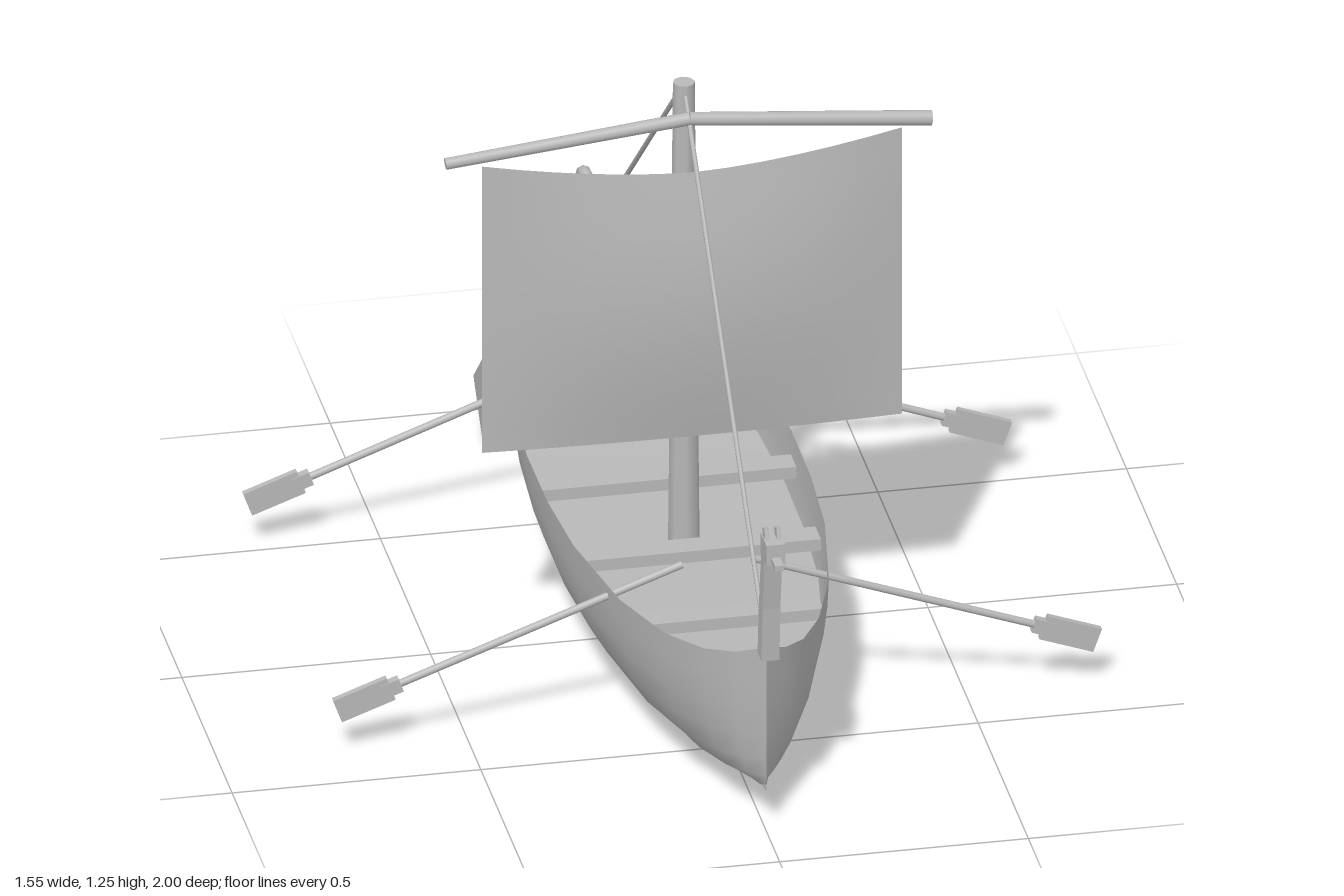
import * as THREE from 'three';

const V = (x, y, z) => new THREE.Vector3(x, y, z);

// Hull stations: z, half width, keel height, gunwale height
const stations = [
  [0.87, 0, 0.09, 0.41], [0.81, 0.05, 0.075, 0.375], [0.74, 0.1, 0.06, 0.352],
  [0.62, 0.155, 0.04, 0.33], [0.45, 0.21, 0.025, 0.322], [0.2, 0.252, 0.008, 0.317],
  [0, 0.265, 0, 0.315], [-0.2, 0.266, 0.004, 0.315], [-0.4, 0.253, 0.013, 0.315],
  [-0.6, 0.22, 0.03, 0.324], [-0.77, 0.172, 0.046, 0.347], [-0.88, 0.128, 0.063, 0.395],
  [-0.94, 0.07, 0.075, 0.44], [-1, 0, 0.09, 0.49],
];
// Cross-section: fraction of half width, fraction of height
const section = [[0, 0], [0.3, 0.045], [0.55, 0.1], [0.74, 0.22], [0.87, 0.4], [0.95, 0.6], [0.985, 0.8], [1, 1]];

function lerpTable(table, key, col, k) {
  for (let i = 1; i < table.length; i++) {
    const a = table[i - 1], b = table[i];
    if ((k - a[key]) * (k - b[key]) <= 0) {
      return a[col] + (b[col] - a[col]) * (k - a[key]) / (b[key] - a[key]);
    }
  }
  return table[table.length - 1][col];
}

// Half width of the hull at a given length and height
function hullHalfWidth(z, y) {
  const keel = lerpTable(stations, 0, 2, z), top = lerpTable(stations, 0, 3, z);
  return lerpTable(stations, 0, 1, z) * lerpTable(section, 1, 0, (y - keel) / (top - keel));
}

// Surface through a grid of points given by fn(row, col)
function gridSurface(rows, cols, fn, flip = false) {
  const pos = [], idx = [];
  for (let i = 0; i < rows; i++) for (let j = 0; j < cols; j++) pos.push(...fn(i, j));
  for (let i = 0; i < rows - 1; i++) for (let j = 0; j < cols - 1; j++) {
    const a = i * cols + j, b = a + 1, c = a + cols, d = c + 1;
    if (flip) idx.push(a, c, b, b, c, d);
    else idx.push(a, b, c, b, d, c);
  }
  const g = new THREE.BufferGeometry();
  g.setAttribute('position', new THREE.Float32BufferAttribute(pos, 3));
  g.setIndex(idx);
  g.computeVertexNormals();
  return g;
}

export function createModel() {
  const model = new THREE.Group();
  model.name = 'sailingBoat';
  const grey = new THREE.MeshStandardMaterial({ color: 0xb8b8b8, side: THREE.DoubleSide });
  grey.name = 'plain grey';

  function add(name, geometry, parent = model) {
    const m = new THREE.Mesh(geometry, grey);
    m.name = name;
    parent.add(m);
    return m;
  }
  // Round bar between two points
  function rod(name, a, b, r0, r1, sides = 8, parent = model) {
    const m = add(name, new THREE.CylinderGeometry(r1, r0, a.distanceTo(b), sides), parent);
    m.position.copy(a).add(b).multiplyScalar(0.5);
    m.quaternion.setFromUnitVectors(V(0, 1, 0), b.clone().sub(a).normalize());
    return m;
  }
  function box(name, w, h, d, x, y, z, parent = model) {
    const m = add(name, new THREE.BoxGeometry(w, h, d), parent);
    m.position.set(x, y, z);
    return m;
  }

  // Hull, one smooth shell per side
  for (const s of [1, -1]) {
    add(s > 0 ? 'leftHull' : 'rightHull', gridSurface(stations.length, section.length, (i, j) => {
      const [z, w, keel, top] = stations[i];
      const [f, t] = section[j];
      return [s * w * f, keel + (top - keel) * t, z];
    }, s > 0));
  }

  // Deck fitted inside the hull, slightly rising to the ends
  const deckZ = stations.map(st => st[0]).filter(z => z <= 0.74 && z >= -0.88);
  add('deck', gridSurface(deckZ.length, 2, (i, j) => {
    const z = deckZ[i], y = 0.2 + 0.05 * z * z;
    return [(j ? 1 : -1) * (hullHalfWidth(z, y) - 0.002), y, z];
  }, true));

  // Rowing benches
  for (const z of [-0.585, -0.44, -0.145, 0.165, 0.455]) {
    const w = Math.min(hullHalfWidth(z - 0.03, 0.26), hullHalfWidth(z + 0.03, 0.26));
    box('bench', w * 2 - 0.006, 0.025, 0.055, 0, 0.265, z);
  }

  // Mast, yard and stays
  rod('mast', V(0, 0.19, 0.045), V(0, 1.245, 0.045), 0.032, 0.022);
  rod('leftYard', V(0, 1.19, 0.098), V(0.487, 1.142, 0.098), 0.014, 0.016);
  rod('rightYard', V(0, 1.19, 0.098), V(-0.49, 1.14, 0.098), 0.014, 0.012);
  rod('foreStay', V(0, 1.24, 0.045), V(0, 0.41, 0.868), 0.005, 0.005, 6);
  rod('backStay', V(0, 1.24, 0.045), V(0, 0.41, -0.91), 0.005, 0.005, 6);

  // Billowing sail with a sagging upper edge
  add('sail', gridSurface(13, 13, (i, j) => {
    const u = j / 6 - 1, v = i / 12;
    const top = 1.092 + 0.05 * Math.pow(Math.abs(u), 1.6);
    const belly = (1 - u * u) * (0.012 + 0.034 * Math.sin(Math.PI * v));
    return [0.422 * u, 0.505 + (top - 0.505) * v, 0.127 + belly];
  }));

  // Bow figurehead: tapered neck, head, snout and ears
  const figurehead = new THREE.Group();
  figurehead.name = 'figurehead';
  model.add(figurehead);
  const neckShape = new THREE.Shape([[0.868, 0.4], [0.908, 0.4], [0.918, 0.52], [0.937, 0.645], [0.905, 0.645], [0.886, 0.54]]
    .map(p => new THREE.Vector2(-p[0], p[1])));
  const neck = new THREE.ExtrudeGeometry(neckShape, { depth: 0.036, bevelEnabled: false });
  neck.translate(0, 0, -0.018).rotateY(Math.PI / 2);
  add('neck', neck, figurehead);
  box('head', 0.038, 0.045, 0.06, 0, 0.663, 0.933, figurehead);
  box('snout', 0.018, 0.012, 0.04, 0, 0.652, 0.98, figurehead);
  for (const s of [1, -1]) {
    box('ear', 0.01, 0.025, 0.025, s * 0.012, 0.691, 0.925, figurehead).rotation.x = -0.3;
  }

  // Curled stern ornament
  const curl = new THREE.CatmullRomCurve3([V(0, 0.44, -0.985), V(0, 0.49, -0.982), V(0, 0.525, -0.962),
    V(0, 0.535, -0.935), V(0, 0.515, -0.915)]);
  add('sternCurl', new THREE.TubeGeometry(curl, 16, 0.014, 8));
  const tip = add('sternCurlTip', new THREE.SphereGeometry(0.014, 8, 6));
  tip.position.set(0, 0.515, -0.915);

  for (const s of [1, -1]) {
    const side = s > 0 ? 'left' : 'right';
    // Rowing oars
    for (const [z, inner] of [[0.375, 0.07], [-0.52, 0.083]]) {
      const oar = new THREE.Group();
      oar.name = side + 'Oar';
      model.add(oar);
      rod('oarShaft', V(s * inner, 0.348, z), V(s * 0.67, 0.13, z), 0.008, 0.008, 8, oar);
      box('oarBlade', 0.115, 0.052, 0.014, s * 0.71, 0.115, z, oar).rotation.z = -s * 0.35;
      box('oarBladeRoot', 0.04, 0.03, 0.018, s * 0.655, 0.135, z, oar).rotation.z = -s * 0.35;
    }
    // Steering oar with tiller
    const steer = new THREE.Group();
    steer.name = side + 'SteeringOar';
    model.add(steer);
    rod('steeringShaft', V(s * 0.215, 0.365, -0.655), V(s * 0.215, 0.11, -0.85), 0.01, 0.01, 8, steer);
    rod('tiller', V(s * 0.22, 0.36, -0.67), V(s * 0.055, 0.363, -0.57), 0.006, 0.005, 8, steer);
    box('steeringBlade', 0.014, 0.115, 0.13, s * 0.215, 0.094, -0.865, steer).rotation.x = 0.82;
    box('steeringBladeRoot', 0.024, 0.05, 0.03, s * 0.215, 0.135, -0.83, steer).rotation.x = 0.65;
  }

  return model;
}
